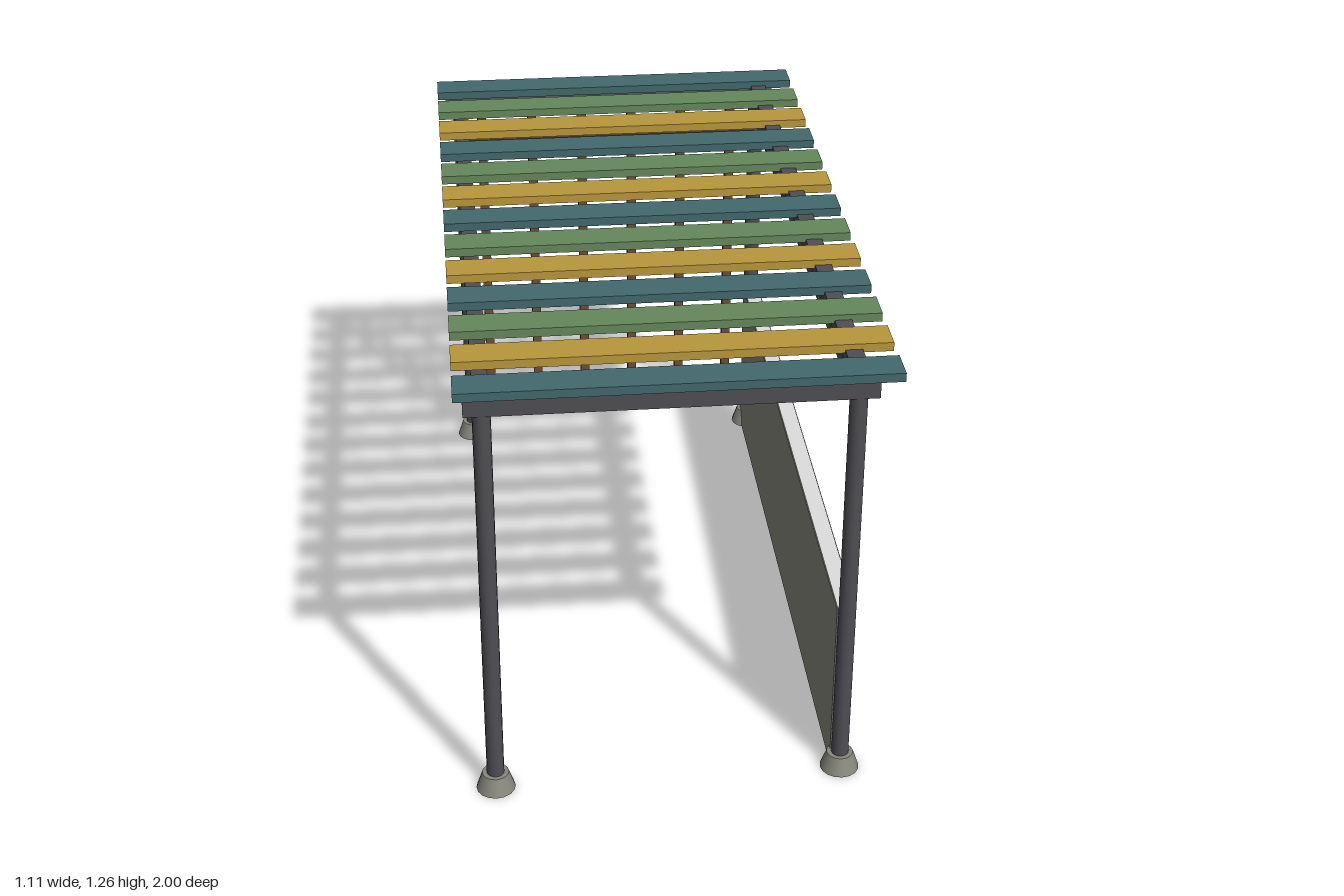
import * as THREE from 'three';

const mat = (name, color) => {
  const m = new THREE.MeshStandardMaterial({ color });
  m.name = name;
  return m;
};

export function createModel() {
  const root = new THREE.Group();
  root.name = 'pergola';
  const steel = mat('dark steel', 0x4e4e54);
  const stone = mat('warm concrete', 0x86867c);
  const white = mat('off white', 0xdedede);
  const wood = mat('brown wood', 0x6b5039);
  const teal = mat('teal paint', 0x42696d);
  const green = mat('green paint', 0x65875c);
  const ochre = mat('ochre paint', 0xb8973b);

  const add = (name, geometry, material, x, y, z) => {
    const m = new THREE.Mesh(geometry, material);
    m.name = name;
    m.position.set(x, y, z);
    root.add(m);
    return m;
  };
  // box given by its extents along each axis
  const box = (name, material, [x0, x1], [y0, y1], [z0, z1]) =>
    add(name, new THREE.BoxGeometry(x1 - x0, y1 - y0, z1 - z0), material,
      (x0 + x1) / 2, (y0 + y1) / 2, (z0 + z1) / 2);

  const leftX = 0.453, rightX = -0.484;
  const frontZ = 0.929, backZ = -0.951;

  // round posts on tapered footings
  const postGeo = new THREE.CylinderGeometry(0.0235, 0.0235, 1.2, 16);
  const footGeo = new THREE.CylinderGeometry(0.036, 0.053, 0.05, 16);
  for (const x of [leftX, rightX]) {
    for (const z of [frontZ, backZ]) {
      add('post', postGeo, steel, x, 0.6, z);
      add('footing', footGeo, stone, x, 0.025, z);
    }
  }

  // cross beams over the front and back post pairs
  for (const z of [frontZ, backZ]) {
    box('crossBeam', steel, [-0.53, 0.503], [1.168, 1.217], [z - 0.024, z + 0.024]);
  }

  // long side rails, with a raised purlin on the left side
  for (const x of [leftX, rightX]) {
    box('sideRail', steel, [x - 0.021, x + 0.021], [1.166, 1.213], [backZ, frontZ]);
  }
  box('purlin', steel, [0.43, 0.475], [1.21, 1.247], [backZ, frontZ]);

  // painted roof slats
  const paints = [teal, green, ochre];
  const slatGeo = new THREE.BoxGeometry(1.107, 0.024, 0.092);
  for (let i = 0; i < 13; i++) {
    add('roofSlat', slatGeo, paints[i % 3], 0, 1.25, -0.946 + i * 0.1583);
  }

  // back trellis: uprights behind, battens in front
  for (let i = 0; i < 6; i++) {
    const x = -0.419 + i * 0.158;
    box('trellisUpright', wood, [x - 0.014, x + 0.014], [0.219, 1.157], [-0.968, -0.942]);
  }
  for (const y of [0.331, 0.702, 1.075]) {
    box('trellisBatten', wood, [-0.475, 0.445], [y - 0.014, y + 0.014], [-0.944, -0.921]);
  }

  // low side wall: pale core with concrete facing on both sides
  box('wallCore', white, [0.43, 0.476], [0.002, 0.515], [-0.953, 0.922]);
  for (const x of [0.429, 0.477]) {
    box('wallFacing', stone, [x - 0.001, x + 0.001], [0.002, 0.512], [-0.949, 0.918]);
  }

  return root;
}
